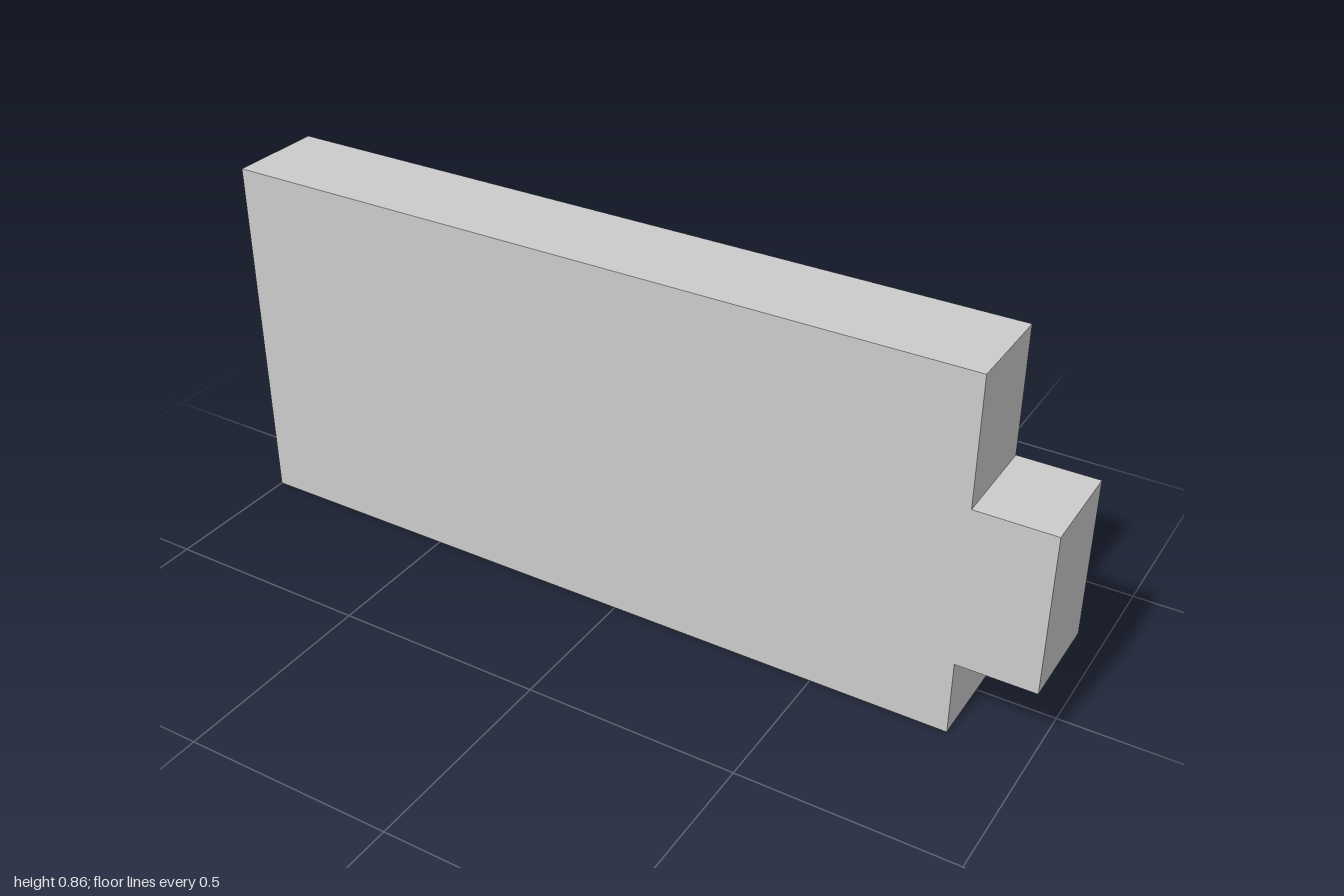
import * as THREE from 'three';

const mat = new THREE.MeshStandardMaterial({ color: 0xcccccc });
const BACK = -0.07, FLOOR = 0.12, FRONT = 0.16;

function polygon(points) {
  return new THREE.Shape(points.map(([x, y]) => new THREE.Vector2(x, y)));
}

function rect(x0, x1, y0, y1) {
  return polygon([[x0, y0], [x1, y0], [x1, y1], [x0, y1]]);
}

function add(parent, name, geometry, x = 0, y = 0, z = 0) {
  const mesh = new THREE.Mesh(geometry, mat);
  mesh.name = name;
  mesh.position.set(x, y, z);
  parent.add(mesh);
  return mesh;
}

// Extrudes a shape between two depths
function slab(parent, name, shape, z0, z1) {
  const geo = new THREE.ExtrudeGeometry(shape, { depth: z1 - z0, bevelEnabled: false });
  return add(parent, name, geo, 0, 0, z0);
}

// Cylinder pointing along z
function rod(parent, name, x, y, z0, z1, r, sides = 16) {
  const geo = new THREE.CylinderGeometry(r, r, z1 - z0, sides).rotateX(Math.PI / 2);
  return add(parent, name, geo, x, y, (z0 + z1) / 2);
}

// Rectangular glass that swells towards the back
function bulgedGlass(parent, x0, x1, y0, y1, zBase, height) {
  const w = x1 - x0, h = y1 - y0;
  const geo = new THREE.PlaneGeometry(w, h, 10, 8).rotateY(Math.PI);
  const p = geo.attributes.position;
  for (let i = 0; i < p.count; i++) {
    const u = (2 * p.getX(i)) / w, v = (2 * p.getY(i)) / h;
    const k = Math.max(0, (1 - u * u) * (1 - v * v));
    p.setZ(i, -height * Math.pow(k, 0.6));
  }
  geo.computeVertexNormals();
  add(parent, 'glass', geo, (x0 + x1) / 2, (y0 + y1) / 2, zBase);
}

// Raised frame with one or more bulged panes: [x0, x1, y0, y1]
function screen(parent, name, outer, panes, zFrame, zGlass) {
  const group = new THREE.Group();
  group.name = name;
  const frame = rect(...outer);
  panes.forEach((p) => frame.holes.push(rect(...p)));
  slab(group, 'screenFrame', frame, zFrame, BACK);
  const base = zFrame + 0.006;
  panes.forEach((p) => bulgedGlass(group, ...p, base, base - zGlass));
  parent.add(group);
}

// Toothed wheel with its axis along z
function gear(parent, name, x, y, r, teeth, z0, z1) {
  const pts = [];
  const step = (Math.PI * 2) / teeth;
  for (let i = 0; i < teeth; i++) {
    [[-0.32, 0.86], [-0.18, 1], [0.18, 1], [0.32, 0.86]].forEach(([t, k]) => {
      const a = (i + t) * step;
      pts.push([Math.cos(a) * r * k, Math.sin(a) * r * k]);
    });
  }
  slab(parent, name, polygon(pts), z0, z1).position.set(x, y, z0);
}

export function createModel() {
  const model = new THREE.Group();
  model.name = 'pegCabinet';

  // Casing: tray walls around the cavity, plus the front plate
  const outline = () => polygon([
    [-1, 0], [0.82, 0], [0.82, 0.18], [1, 0.18], [1, 0.56], [0.82, 0.56], [0.82, 0.86], [-1, 0.86],
  ]);
  const walls = outline();
  walls.holes.push(rect(-0.555, 0.79, 0.035, 0.82));
  slab(model, 'casingWalls', walls, BACK, FLOOR);
  slab(model, 'frontPlate', outline(), FLOOR, FRONT);

  // Pegs standing on the cavity floor
  const pegs = new THREE.Group();
  pegs.name = 'pegs';
  model.add(pegs);
  [[0.56, 0.39], [0.2, 0.55], [-0.315, 0.485], [0.11, 0.19]]
    .forEach(([x, y]) => rod(pegs, 'largePeg', x, y, 0.03, FLOOR, 0.035, 20));
  [
    [0.375, 0.73], [0.71, 0.54], [0.36, 0.43], [0.005, 0.59], [-0.065, 0.68], [-0.15, 0.56],
    [0.3, 0.33], [-0.065, 0.43], [-0.43, 0.7], [0.57, 0.14], [0.315, 0.22], [-0.06, 0.28],
    [-0.15, 0.2], [-0.285, 0.14], [-0.365, 0.24], [-0.515, 0.265],
  ].forEach(([x, y]) => rod(pegs, 'smallPeg', x, y, 0.035, FLOOR, 0.019));

  // Gears half sunk in the side walls
  gear(model, 'largeGear', -0.56, 0.42, 0.16, 22, 0.02, 0.06);
  gear(model, 'smallGear', 0.745, 0.49, 0.085, 12, 0.01, 0.05);
  add(model, 'gearPlate', new THREE.BoxGeometry(0.004, 0.2, 0.135), 0.789, 0.462, 0);

  // Screens on the rear
  screen(model, 'mainScreen', [-0.955, -0.595, 0.56, 0.765], [[-0.925, -0.625, 0.59, 0.735]], -0.112, -0.157);
  screen(model, 'twinScreen', [-0.9, -0.63, 0.035, 0.143],
    [[-0.882, -0.773, 0.053, 0.125], [-0.757, -0.648, 0.053, 0.125]], -0.087, -0.1);
  screen(model, 'sideScreen', [0.84, 0.98, 0.4, 0.505], [[0.857, 0.963, 0.415, 0.49]], -0.083, -0.097);

  // Two levers on slot plates
  [-0.71, -0.84].forEach((x) => {
    const lever = new THREE.Group();
    lever.name = 'lever';
    add(lever, 'leverSlot', new THREE.BoxGeometry(0.036, 0.125, 0.004), x, 0.342, BACK);
    rod(lever, 'leverRod', x, 0.347, -0.145, BACK, 0.009, 12);
    add(lever, 'leverKnob', new THREE.SphereGeometry(0.016, 10, 6), x, 0.347, -0.145);
    model.add(lever);
  });

  return model;
}
